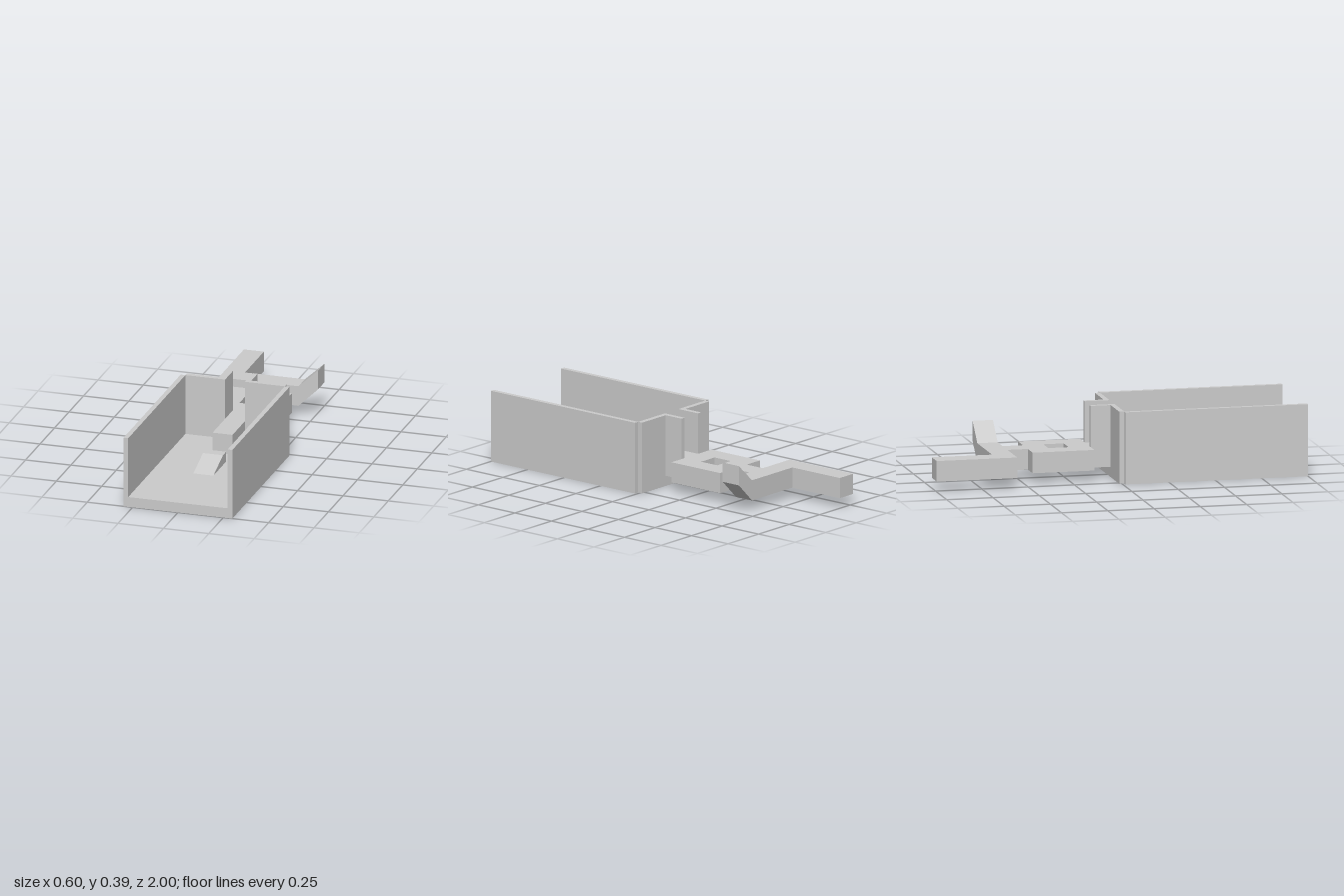
import * as THREE from 'three';

const material = new THREE.MeshStandardMaterial({ color: 0xcccccc, flatShading: true });

function outline(points) {
  return new THREE.Shape(points.map(([x, y]) => new THREE.Vector2(x, y)));
}

export function createModel() {
  const group = new THREE.Group();
  const add = (name, geometry) => {
    const mesh = new THREE.Mesh(geometry, material);
    mesh.name = name;
    group.add(mesh);
  };

  // Extrude an x-y profile along z
  const alongZ = (name, points, z0, z1) => {
    const g = new THREE.ExtrudeGeometry(outline(points), { depth: z1 - z0, bevelEnabled: false });
    add(name, g.translate(0, 0, z0));
  };
  const box = (name, x0, x1, y0, y1, z0, z1) => {
    const g = new THREE.BoxGeometry(x1 - x0, y1 - y0, z1 - z0);
    add(name, g.translate((x0 + x1) / 2, (y0 + y1) / 2, (z0 + z1) / 2));
  };
  // Symmetric U profile: outer half width, inner half width
  const uProfile = (o, i) => [[-o, 0], [o, 0], [o, top], [i, top], [i, floor], [-i, floor], [-i, top], [-o, top]];

  const floor = 0.055, top = 0.385, barTop = 0.165, back = 0.013;

  // Open tray and the slotted plate closing its back
  alongZ('trayChannel', uProfile(0.3, 0.274), back, 1);
  alongZ('backPlate', uProfile(0.274, 0.055), -0.014, back);

  // Upright flanges on both sides of the slot
  for (const s of [-1, 1]) {
    const xs = [s * 0.055, s * 0.081].sort((a, b) => a - b);
    box(s > 0 ? 'leftFlange' : 'rightFlange', xs[0], xs[1], floor, top, -0.122, -0.014);
  }

  // Ramped catch on the tray floor (z-y profile extruded across x)
  const ramp = outline([[0.34, floor], [0.56, floor], [0.395, 0.11], [0.34, 0.11]]);
  const rampGeometry = new THREE.ExtrudeGeometry(ramp, { depth: 0.11, bevelEnabled: false });
  add('rampCatch', rampGeometry.rotateY(-Math.PI / 2).translate(0.055, 0, 0));

  // Flat linkage: tongue, pierced plate, neck, crossbar and rear arm, outlined in x and -z
  const link = outline([
    [-0.055, -0.23], [0.055, -0.23], [0.055, 0.122], [0.163, 0.122], [0.163, 0.455], [0.055, 0.455],
    [0.055, 0.565], [0.165, 0.565], [0.165, 0.675], [-0.165, 0.675], [-0.165, 1], [-0.275, 1],
    [-0.275, 0.565], [-0.055, 0.565], [-0.055, 0.455], [-0.163, 0.455], [-0.163, 0.122], [-0.055, 0.122],
  ]);
  link.holes.push(outline([[-0.055, 0.235], [-0.055, 0.345], [0.055, 0.345], [0.055, 0.235]]));
  const linkGeometry = new THREE.ExtrudeGeometry(link, { depth: barTop - floor, bevelEnabled: false });
  add('linkage', linkGeometry.rotateX(-Math.PI / 2).translate(0, floor, 0));

  // Upswept end of the crossbar
  alongZ('upturnedHook', [[0.165, floor], [0.273, 0.16], [0.273, 0.265], [0.165, barTop]], -0.675, -0.565);

  return group;
}
